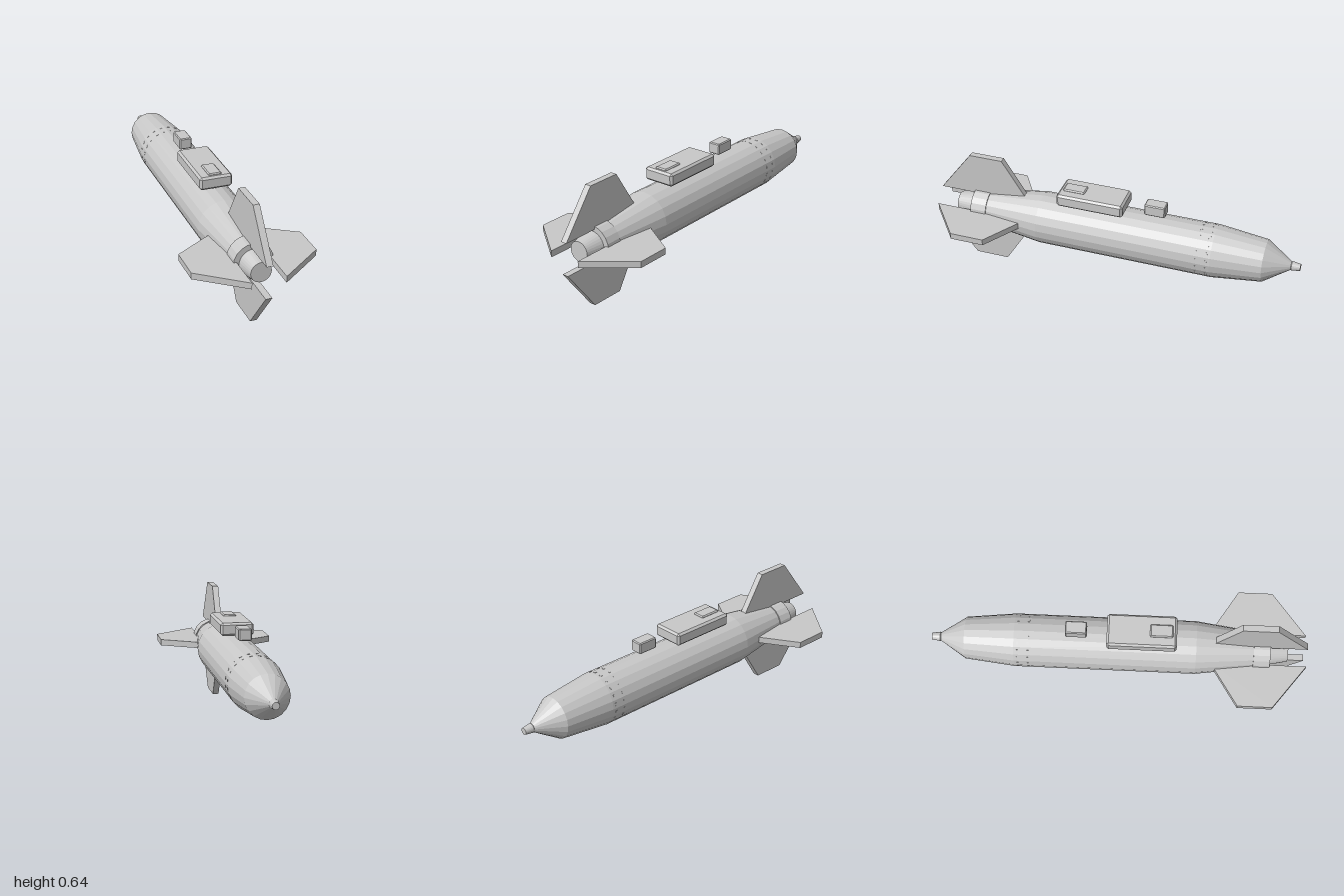
import * as THREE from 'three';
import { ConvexGeometry } from 'three/addons/geometries/ConvexGeometry.js';

const AXIS_Y = 0.323;

export function createModel() {
  const model = new THREE.Group();
  model.name = 'finnedBomb';
  const grey = new THREE.MeshStandardMaterial({ color: 0xc8c8c8, flatShading: true });
  grey.name = 'light grey metal';

  function add(name, geometry, parent = model) {
    const mesh = new THREE.Mesh(geometry, grey);
    mesh.name = name;
    parent.add(mesh);
    return mesh;
  }

  // Turned part along z from [radius, z] pairs
  function turned(name, profile, sides, parent) {
    const points = profile.map(([r, z]) => new THREE.Vector2(r, z));
    return add(name, new THREE.LatheGeometry(points, sides).rotateX(Math.PI / 2), parent);
  }

  // Box with every edge cut by c
  function chamferBox(w, h, d, c) {
    const points = [];
    for (const sx of [-1, 1]) for (const sy of [-1, 1]) for (const sz of [-1, 1]) {
      const [x, y, z] = [sx * w / 2, sy * h / 2, sz * d / 2];
      points.push(
        new THREE.Vector3(x, y - sy * c, z - sz * c),
        new THREE.Vector3(x - sx * c, y, z - sz * c),
        new THREE.Vector3(x - sx * c, y - sy * c, z));
    }
    return new ConvexGeometry(points);
  }

  // Round parts and fins share the long axis
  const casing = new THREE.Group();
  casing.name = 'casing';
  casing.position.y = AXIS_Y;
  model.add(casing);

  turned('body', [[0, -0.955], [0.02, -0.955], [0.112, -0.815], [0.141, -0.55],
    [0.141, 0.41], [0.097, 0.73], [0, 0.73]], 20, casing);
  turned('noseTip', [[0, -1], [0.018, -1], [0.025, -0.955], [0.018, -0.945], [0, -0.945]], 20, casing);
  turned('tailCollar', [[0, 0.715], [0.1045, 0.715], [0.1045, 0.803], [0, 0.803]], 20, casing);
  turned('tailCone', [[0, 0.8], [0.075, 0.8], [0.054, 0.9], [0, 0.9]], 32, casing);

  // Four tail fins: shape x runs outward, shape y runs along the body
  const finShape = new THREE.Shape([[0.087, 0.49], [0.322, 0.637], [0.322, 0.82], [0.087, 1]]
    .map(([r, z]) => new THREE.Vector2(r, z)));
  const finGeometry = new THREE.ExtrudeGeometry(finShape, { depth: 0.034, bevelEnabled: false })
    .translate(0, 0, -0.017).rotateX(Math.PI / 2);
  for (let i = 0; i < 4; i++) add('tailFin', finGeometry, casing).rotation.z = i * Math.PI / 2;

  // Two rings of low rivets behind the nose
  const rivetGeometry = new THREE.BoxGeometry(0.006, 0.014, 0.01);
  for (const z of [-0.475, -0.53]) for (let i = 0; i < 20; i++) {
    const a = (i + 0.5) * Math.PI / 10;
    const rivet = add('rivet', rivetGeometry, casing);
    rivet.position.set(Math.cos(a) * 0.1378, Math.sin(a) * 0.1378, z);
    rivet.rotation.z = a;
  }

  // Blocks along the top
  add('topBlock', chamferBox(0.176, 0.07, 0.365, 0.011)).position.set(0, 0.511, 0.122);
  add('topPlate', chamferBox(0.07, 0.03, 0.12, 0.006)).position.set(0, 0.539, 0.224);
  add('forwardBlock', chamferBox(0.068, 0.062, 0.112, 0.005)).position.set(0, 0.52, -0.221);

  return model;
}
